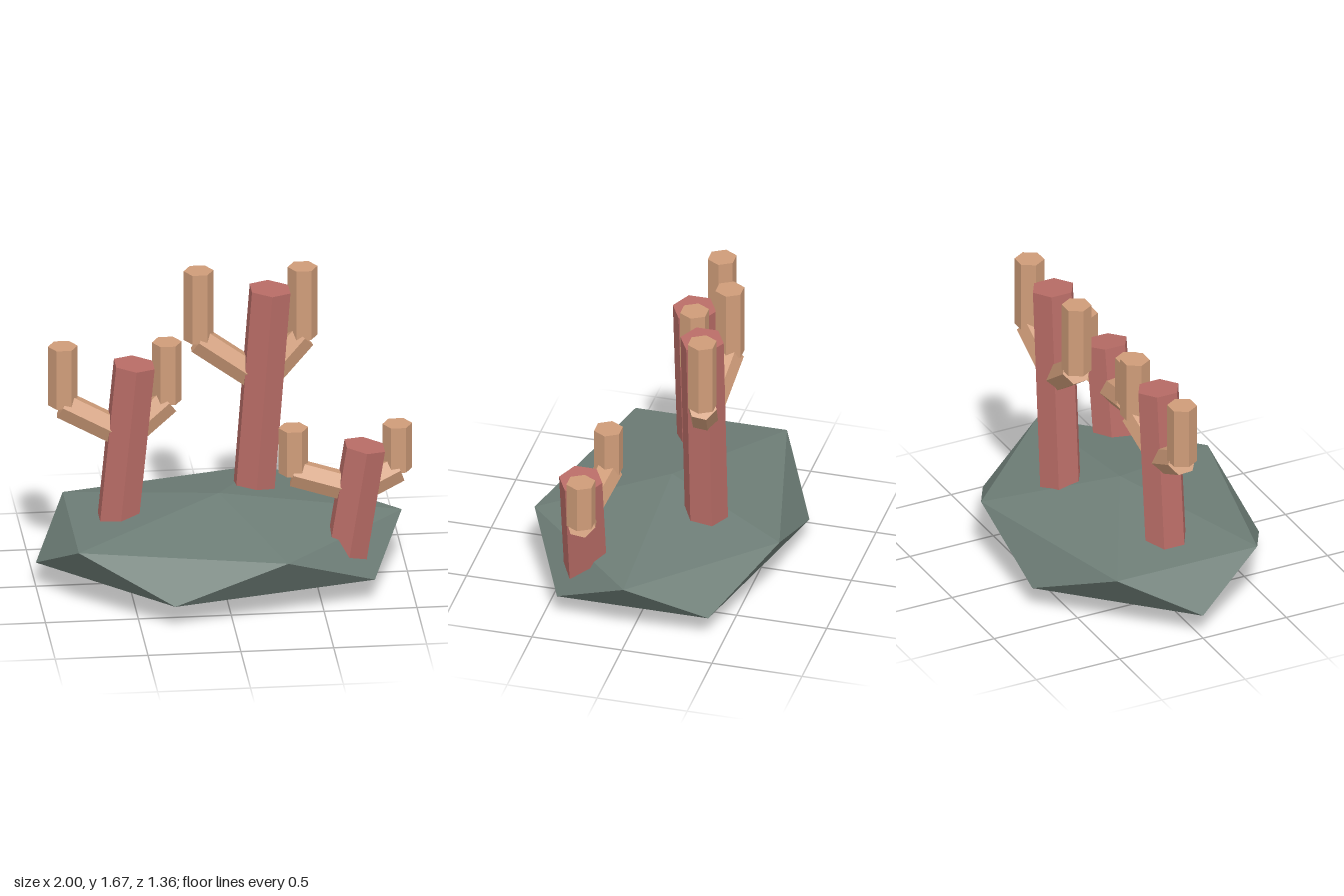
import * as THREE from 'three';
import { ConvexGeometry } from 'three/addons/geometries/ConvexGeometry.js';

const material = (name, color) => {
  const m = new THREE.MeshStandardMaterial({ color, flatShading: true });
  m.name = name;
  return m;
};

// Six-sided rod between two points; twist turns its corners about its axis
function rod(name, from, to, radius, mat, twist = 0) {
  const dir = to.clone().sub(from);
  const geometry = new THREE.CylinderGeometry(radius, radius, dir.length(), 6);
  geometry.rotateY(twist);
  const mesh = new THREE.Mesh(geometry, mat);
  mesh.name = name;
  mesh.position.copy(from).add(to).multiplyScalar(0.5);
  mesh.quaternion.setFromUnitVectors(new THREE.Vector3(0, 1, 0), dir.normalize());
  return mesh;
}

// Flattened icosahedron: two poles and two staggered rings of five
function rock(mat) {
  const cx = -0.015, rx = 0.985, rz = 0.715;
  const points = [new THREE.Vector3(cx, 0, 0), new THREE.Vector3(cx, 0.5, 0)];
  for (let i = 0; i < 5; i++) {
    const a = (i * Math.PI * 2) / 5;
    const x = rx * Math.cos(a), z = rz * Math.sin(a);
    points.push(new THREE.Vector3(cx + x, 0.362, z), new THREE.Vector3(cx - x, 0.138, z));
  }
  const mesh = new THREE.Mesh(new ConvexGeometry(points), mat);
  mesh.name = 'rockBase';
  return mesh;
}

// Leaning trunk with a pair of elbowed branches
function coral(name, x, z, height, tipBottom, tipTop, trunkMat, branchMat) {
  const group = new THREE.Group();
  group.name = name;
  const foot = new THREE.Vector3(x, 0.24, z);
  const head = new THREE.Vector3(x + 0.1, 0.24 + height, z);
  group.add(rod('trunk', foot, head, 0.12, trunkMat));

  const fork = foot.clone().lerp(head, 0.6);
  for (const side of [-1, 1]) {
    const label = side > 0 ? 'left' : 'right';
    const elbow = new THREE.Vector3(x + side * 0.28, tipBottom, z - 0.05);
    const tip = elbow.clone().setY(tipTop);
    group.add(rod(label + 'Branch', fork, elbow, 0.08, branchMat));
    group.add(rod(label + 'BranchTip', elbow, tip, 0.08, branchMat, Math.PI / 6));
  }
  return group;
}

export function createModel() {
  const rockMat = material('grey green rock', 0x6d7d76);
  const trunkMat = material('dusty red coral', 0xb86c66);
  const branchMat = material('tan coral', 0xcf9c79);

  const model = new THREE.Group();
  model.name = 'coralRock';
  model.add(
    rock(rockMat),
    coral('middleCoral', -0.57, 0, 1.03, 1.03, 1.37, trunkMat, branchMat),
    coral('tallCoral', 0.187, -0.25, 1.33, 1.27, 1.67, trunkMat, branchMat),
    coral('shortCoral', 0.64, 0.3, 0.63, 0.71, 0.97, trunkMat, branchMat)
  );
  return model;
}
